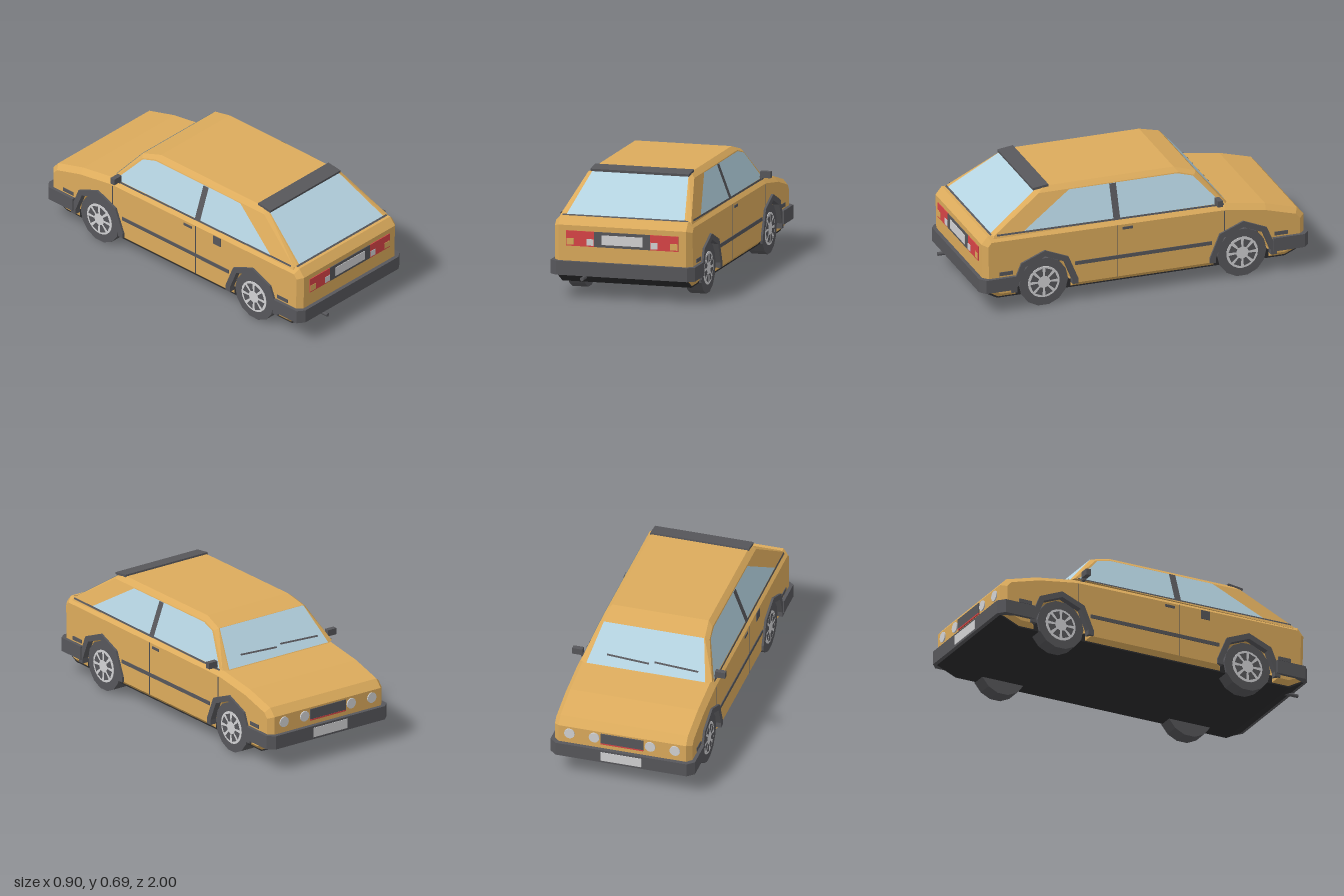
import * as THREE from 'three';
import { ConvexGeometry } from 'three/addons/geometries/ConvexGeometry.js';

const mat = (name, color, side = THREE.FrontSide) => {
  const m = new THREE.MeshStandardMaterial({ color, side });
  m.name = name;
  return m;
};

export function createModel() {
  const car = new THREE.Group();
  car.name = 'hatchback';
  const paint = mat('amber paint', 0xdcab5c);
  const glass = mat('glass', 0xb4d2e0, THREE.DoubleSide);
  const trim = mat('grey trim', 0x57575b, THREE.DoubleSide);
  const black = mat('black underbody', 0x2c2c2e);
  const red = mat('red lamp', 0xd84446);
  const silver = mat('light grey', 0xd2d2d4, THREE.DoubleSide);

  const add = (name, geometry, material, parent = car) => {
    const m = new THREE.Mesh(geometry, material);
    m.name = name;
    parent.add(m);
    return m;
  };
  // box given by its limits
  const box = (name, material, x0, x1, y0, y1, z0, z1) => {
    const m = add(name, new THREE.BoxGeometry(Math.abs(x1 - x0), y1 - y0, Math.abs(z1 - z0)), material);
    m.position.set((x0 + x1) / 2, (y0 + y1) / 2, (z0 + z1) / 2);
    return m;
  };
  const shapeOf = pts => new THREE.Shape(pts.map(p => new THREE.Vector2(p[0], p[1])));
  // side outline of (z, y) points extruded across x, centred on x = cx
  const across = (pts, width, cx = 0, bevel = 0) => {
    const g = new THREE.ExtrudeGeometry(shapeOf(pts), {
      depth: width - 2 * bevel, bevelEnabled: bevel > 0, bevelSegments: 1,
      bevelThickness: bevel, bevelSize: bevel, bevelOffset: -bevel,
    });
    g.rotateY(-Math.PI / 2);
    g.translate(cx + width / 2 - bevel, 0, 0);
    return g;
  };
  // flat outline whose corners are placed by a rule
  const plate = (pts, place) => {
    const g = new THREE.ShapeGeometry(shapeOf(pts));
    const p = g.attributes.position;
    for (let i = 0; i < p.count; i++) p.setXYZ(i, ...place(p.getX(i), p.getY(i)));
    g.computeVertexNormals();
    return g;
  };
  const arc = (cz, r) => [180, 135, 90, 45, 0].map(a => {
    const t = a * Math.PI / 180;
    return [cz + r * Math.cos(t), 0.145 + r * Math.sin(t)];
  });

  // lower body with wheel arches and chamfered edges
  const axles = [-0.6, 0.59];
  const outline = [[-0.86, 0.085]];
  for (const z of axles) outline.push([z - 0.16, 0.085], ...arc(z, 0.16), [z + 0.16, 0.085]);
  outline.push([0.86, 0.085], [0.95, 0.135], [0.957, 0.42], [0.92, 0.465], [-0.5, 0.455],
    [-0.745, 0.418], [-0.935, 0.365], [-0.975, 0.32], [-0.975, 0.135]);
  add('body', across(outline, 0.81, 0, 0.03), paint);

  // underbody and inner wheel wells
  add('underbody', across([[-0.86, 0.082], [0.865, 0.082], [0.957, 0.133], [-0.978, 0.133]], 0.76), black);
  for (const z of axles) box('wheelWell', black, -0.29, 0.29, 0.1, 0.34, z - 0.19, z + 0.19);

  // cabin
  const sideX = y => 0.385 - 0.378 * (y - 0.465);
  const cabinPts = [];
  for (const s of [-1, 1]) {
    for (const [z, y] of [[0.89, 0.45], [0.885, 0.465], [0.59, 0.656], [-0.25, 0.658], [-0.34, 0.632], [-0.505, 0.46]])
      cabinPts.push(new THREE.Vector3(s * sideX(y), y, z));
    for (const [x, y, z] of [[0.36, 0.465, 0.895], [0.285, 0.667, 0.6], [0.283, 0.683, 0.55],
      [0.283, 0.683, -0.23], [0.298, 0.647, -0.355], [0.355, 0.455, -0.52]])
      cabinPts.push(new THREE.Vector3(s * x, y, z));
  }
  add('cabin', new ConvexGeometry(cabinPts), paint);

  // windscreen and rear window
  const screenZ = y => -0.52 + (y - 0.455) * 0.165 / 0.192;
  const rearZ = y => 0.895 - (y - 0.465) * 0.295 / 0.202;
  add('windscreen', plate([[-0.35, 0.46], [0.35, 0.46], [0.295, 0.647], [-0.295, 0.647]],
    (x, y) => [x, y, screenZ(y) - 0.004]), glass);
  add('rearWindow', plate([[-0.347, 0.47], [0.347, 0.47], [0.283, 0.666], [-0.283, 0.666]],
    (x, y) => [x, y, rearZ(y) + 0.004]), glass);
  add('rearWindowSeal', plate([[-0.37, 0.464], [0.37, 0.464], [0.37, 0.471], [-0.37, 0.471]],
    (x, y) => [x, y, rearZ(y) + 0.006]), trim);

  // wipers
  for (const [x0, x1] of [[-0.3, -0.04], [-0.01, 0.24]])
    add('wiper', plate([[x0, 0.498], [x1, 0.508], [x1, 0.516], [x0, 0.506]],
      (x, y) => [x, y, screenZ(y) - 0.01]), black).material = trim;

  // rear spoiler
  const spoiler = box('spoiler', trim, -0.29, 0.29, 0.673, 0.687, 0.523, 0.617);
  spoiler.rotation.x = 0.13;

  // bumpers: chamfered blocks wrapping round the corners
  const bumper = (name, zIn, zCorner, zOut) => {
    const g = new THREE.ExtrudeGeometry(shapeOf([[-0.425, zIn], [-0.425, zCorner], [-0.385, zOut],
      [0.385, zOut], [0.425, zCorner], [0.425, zIn]]), { depth: 0.08, bevelEnabled: false });
    g.rotateX(Math.PI / 2);
    g.translate(0, 0.215, 0);
    add(name, g, trim);
  };
  bumper('frontBumper', -0.78, -0.965, -1);
  bumper('rearBumper', 0.765, 0.945, 0.975);

  // nose: grille, red line, twin headlights, plate
  box('grille', trim, -0.125, 0.125, 0.25, 0.31, -0.981, -0.973);
  box('grilleStripe', red, -0.125, 0.125, 0.242, 0.25, -0.982, -0.973);
  for (const x of [-0.31, -0.165, 0.165, 0.31]) {
    const lamp = add('headlight', new THREE.CylinderGeometry(0.031, 0.031, 0.009, 12), silver);
    lamp.rotation.x = Math.PI / 2;
    lamp.position.set(x, 0.278, -0.977);
  }
  box('frontPlate', silver, -0.12, 0.12, 0.147, 0.203, -1.003, -0.997);

  // tail: lamps and plate
  box('rearPlateSurround', trim, -0.165, 0.165, 0.303, 0.39, 0.952, 0.961);
  box('rearPlate', silver, -0.12, 0.12, 0.318, 0.373, 0.957, 0.964);
  for (const s of [-1, 1]) {
    box('tailLamp', red, s * 0.165, s * 0.33, 0.303, 0.39, 0.952, 0.961);
    box('reverseLamp', silver, s * 0.168, s * 0.208, 0.31, 0.347, 0.957, 0.963);
    box('rearIndicator', paint, s * 0.284, s * 0.326, 0.31, 0.347, 0.957, 0.963);
  }
  const exhaust = add('exhaust', new THREE.CylinderGeometry(0.012, 0.012, 0.15, 6), trim);
  exhaust.rotation.x = Math.PI / 2;
  exhaust.position.set(-0.225, 0.122, 0.925);

  // parts repeated on both sides
  for (const s of [-1, 1]) {
    const onSide = off => (z, y) => [s * (sideX(y) + off), y, z];
    add('sideWindow', plate([[0.71, 0.468], [0.41, 0.654], [-0.24, 0.654], [-0.33, 0.63], [-0.48, 0.463]],
      onSide(0.003)), glass);
    add('doorPillar', plate([[0.13, 0.463], [0.17, 0.463], [0.17, 0.654], [0.13, 0.654]], onSide(0.006)), trim);
    add('beltStrip', plate([[0.87, 0.464], [0.87, 0.474], [-0.49, 0.464], [-0.49, 0.454]], onSide(0.008)), trim);

    const strip = (name, z0, z1, y0, y1) => box(name, trim, s * 0.402, s * 0.409, y0, y1, z0, z1);
    strip('sideMoulding', -0.415, 0.405, 0.225, 0.247);
    strip('rearSideMarker', 0.78, 0.86, 0.225, 0.247);
    strip('frontSideMarker', -0.79, -0.87, 0.225, 0.247);
    strip('doorHandle', 0.06, 0.12, 0.4, 0.415);
    strip('doorGap', 0.148, 0.152, 0.115, 0.43).scale.x = 0.6;
    strip('doorGap', -0.492, -0.488, 0.3, 0.42).scale.x = 0.6;
    if (s < 0) strip('fuelFlap', 0.288, 0.345, 0.375, 0.428);

    // door mirror
    box('mirror', trim, s * 0.39, s * 0.45, 0.468, 0.505, -0.465, -0.435);
    box('mirrorArm', trim, s * 0.37, s * 0.4, 0.455, 0.475, -0.46, -0.44);

    for (const z of axles) {
      // arch flare
      const flare = [[z - 0.2, 0.115], ...arc(z, 0.2), [z + 0.2, 0.115],
        [z + 0.165, 0.115], ...arc(z, 0.165).reverse(), [z - 0.165, 0.115]];
      add('archFlare', across(flare, 0.043, s * 0.3965), trim);

      // wheel, built along +x and turned for the other side
      const wheel = new THREE.Group();
      wheel.name = 'wheel';
      wheel.position.set(s * 0.347, 0.146, z);
      wheel.rotation.y = s > 0 ? 0 : Math.PI;
      car.add(wheel);
      const tyre = new THREE.CylinderGeometry(0.146, 0.146, 0.094, 14).toNonIndexed();
      tyre.computeVertexNormals();
      add('tyre', tyre.rotateZ(-Math.PI / 2), trim, wheel);
      add('rim', new THREE.CylinderGeometry(0.095, 0.095, 0.006, 20).rotateZ(-Math.PI / 2), silver, wheel)
        .position.x = 0.047;
      for (let i = 0; i < 8; i++) {
        const gap = add('rimOpening', plate([[-0.009, 0.036], [0.009, 0.036], [0.023, 0.08], [-0.023, 0.08]],
          (a, b) => [0.052, b, a]), trim, wheel);
        gap.rotation.x = (i + 0.5) * Math.PI / 4;
      }
    }
  }
  return car;
}
